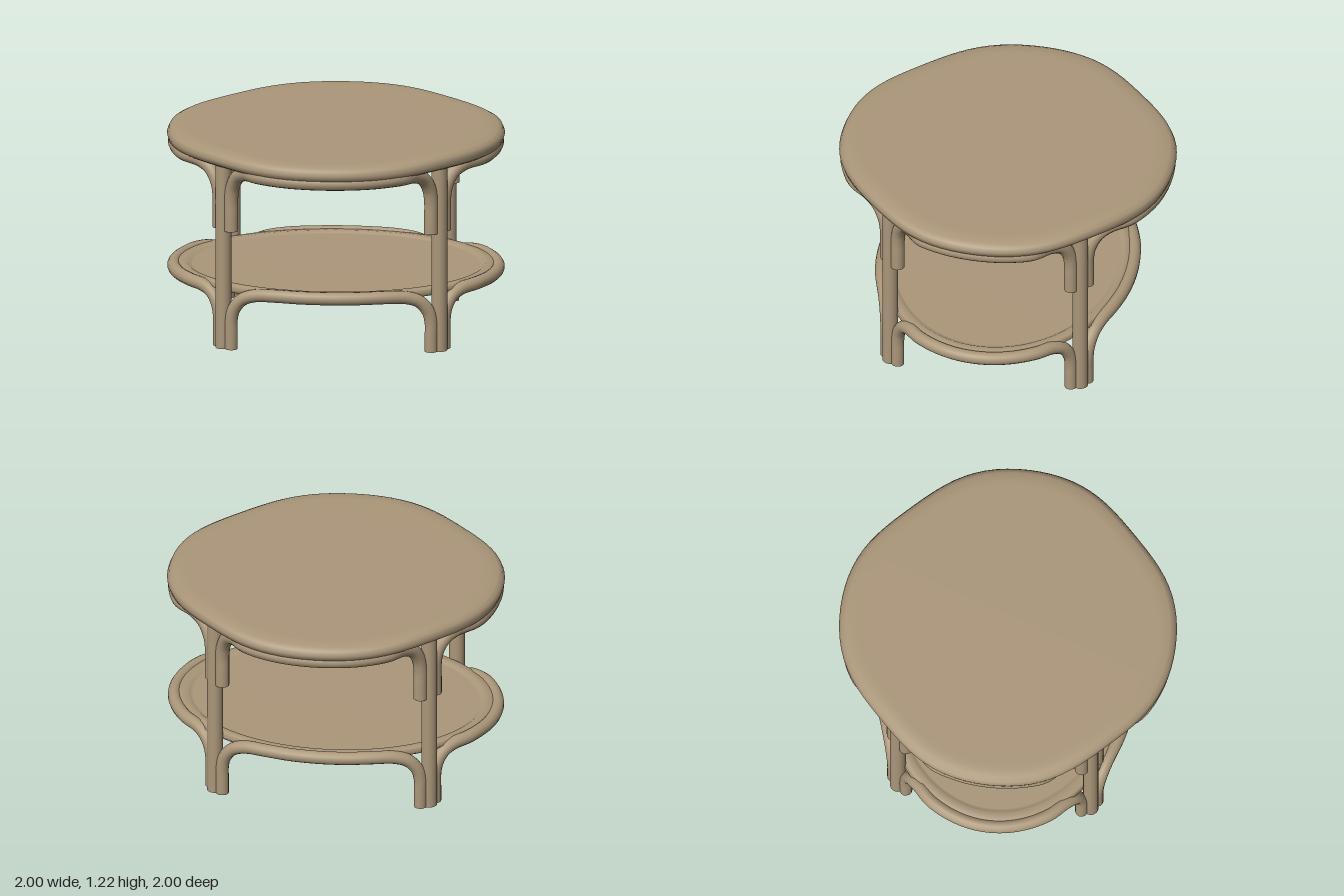
import * as THREE from 'three';

const LEG_X = 0.64, LEG_Z = 0.575;

// slightly squared-off hand-bent circle
const wobble = a => 1 - 0.05 * Math.pow(Math.sin(2 * a), 4);
const topRing = a => [0.952 * wobble(a) * Math.cos(a), 0.952 * wobble(a) * Math.sin(a)];
const shelfRing = a => [0.96 * Math.cos(a), 0.737 * Math.sin(a)];

function lathe(points) {
  return new THREE.LatheGeometry(points.map(p => new THREE.Vector2(p[0], p[1])), 96);
}

export function createModel() {
  const group = new THREE.Group();
  const rattan = new THREE.MeshStandardMaterial({ color: 0xab977a });
  rattan.name = 'rattan';

  const add = (geometry, name, parent = group) => {
    const mesh = new THREE.Mesh(geometry, rattan);
    mesh.name = name;
    parent.add(mesh);
    return mesh;
  };

  // Round top with a soft edge and a recessed underside
  const top = lathe([
    [0, 1.15], [0.85, 1.15], [0.87, 1.15], [0.885, 1.132], [0.92, 1.125], [0.965, 1.126],
    [0.99, 1.14], [1, 1.17], [0.988, 1.198], [0.96, 1.213], [0.91, 1.219], [0.87, 1.22], [0, 1.22],
  ]);
  const pos = top.attributes.position;
  for (let i = 0; i < pos.count; i++) {
    const k = wobble(Math.atan2(pos.getZ(i), pos.getX(i)));
    pos.setX(i, pos.getX(i) * k);
    pos.setZ(i, pos.getZ(i) * k);
  }
  add(top, 'tableTop');

  // Oval shelf with a raised border
  const shelf = lathe([
    [0, 0.338], [0.84, 0.338], [0.86, 0.338], [0.875, 0.328], [0.93, 0.328], [0.955, 0.35],
    [0.935, 0.376], [0.885, 0.378], [0.865, 0.364], [0.85, 0.362], [0, 0.362],
  ]);
  shelf.scale(1, 1, 0.767);
  add(shelf, 'shelf');

  // Leg poles
  for (const sx of [1, -1]) for (const sz of [1, -1]) {
    const pole = add(new THREE.CylinderGeometry(0.047, 0.047, 1.15, 20), 'legPole');
    pole.position.set(sx * LEG_X, 0.575, sz * LEG_Z);
  }

  // Bent canes: each rises beside one leg, runs along the ring and drops beside the next leg
  const bend = [[0, 0], [0, 0.25], [0, 0.5], [0.06, 0.7], [0.24, 0.88], [0.52, 0.97], [1, 1]];

  function cane(ring, legAngle, side, y0, y1, radius, name) {
    const frontBack = side % 2 === 1;
    const mid = side * Math.PI / 2;
    const half = frontBack ? Math.PI / 2 - legAngle : legAngle;
    const reach = 0.37;
    const halfPath = dir => {
      const a = mid + dir * half;
      const lx = Math.sign(Math.cos(a)) * LEG_X, lz = Math.sign(Math.sin(a)) * LEG_Z;
      const r = Math.hypot(lx, lz), ux = lx / r, uz = lz / r;
      // start beside the pole, on the side facing this span
      const sx = lx - 0.015 * ux + dir * 0.055 * uz;
      const sz = lz - 0.015 * uz - dir * 0.055 * ux;
      const [tx, tz] = ring(a - dir * reach);
      return bend.map(([w, h]) => new THREE.Vector3(
        sx + (tx - sx) * w, y0 + (y1 - y0) * h, sz + (tz - sz) * w));
    };
    const points = halfPath(-1);
    const span = half - reach;
    for (const t of [-0.6, -0.2, 0.2, 0.6]) {
      const [x, z] = ring(mid + t * span);
      points.push(new THREE.Vector3(x, y1, z));
    }
    points.push(...halfPath(1).reverse());

    const part = new THREE.Group();
    part.name = name;
    group.add(part);
    add(new THREE.TubeGeometry(new THREE.CatmullRomCurve3(points), 96, radius, 14), 'bentCane', part);
    // flat cut ends
    for (const end of [points[0], points[points.length - 1]]) {
      const cap = add(new THREE.CircleGeometry(radius, 14), 'caneEnd', part);
      cap.rotation.x = Math.PI / 2;
      cap.position.copy(end);
    }
  }

  const topAngle = Math.atan2(LEG_Z, LEG_X);
  const shelfAngle = Math.atan2(LEG_Z / 0.737, LEG_X / 0.96);
  for (let side = 0; side < 4; side++) {
    cane(topRing, topAngle, side, 0.725, 1.118, 0.042, 'upperArch');
    cane(shelfRing, shelfAngle, side, 0, 0.35, 0.039, 'lowerArch');
  }
  return group;
}
